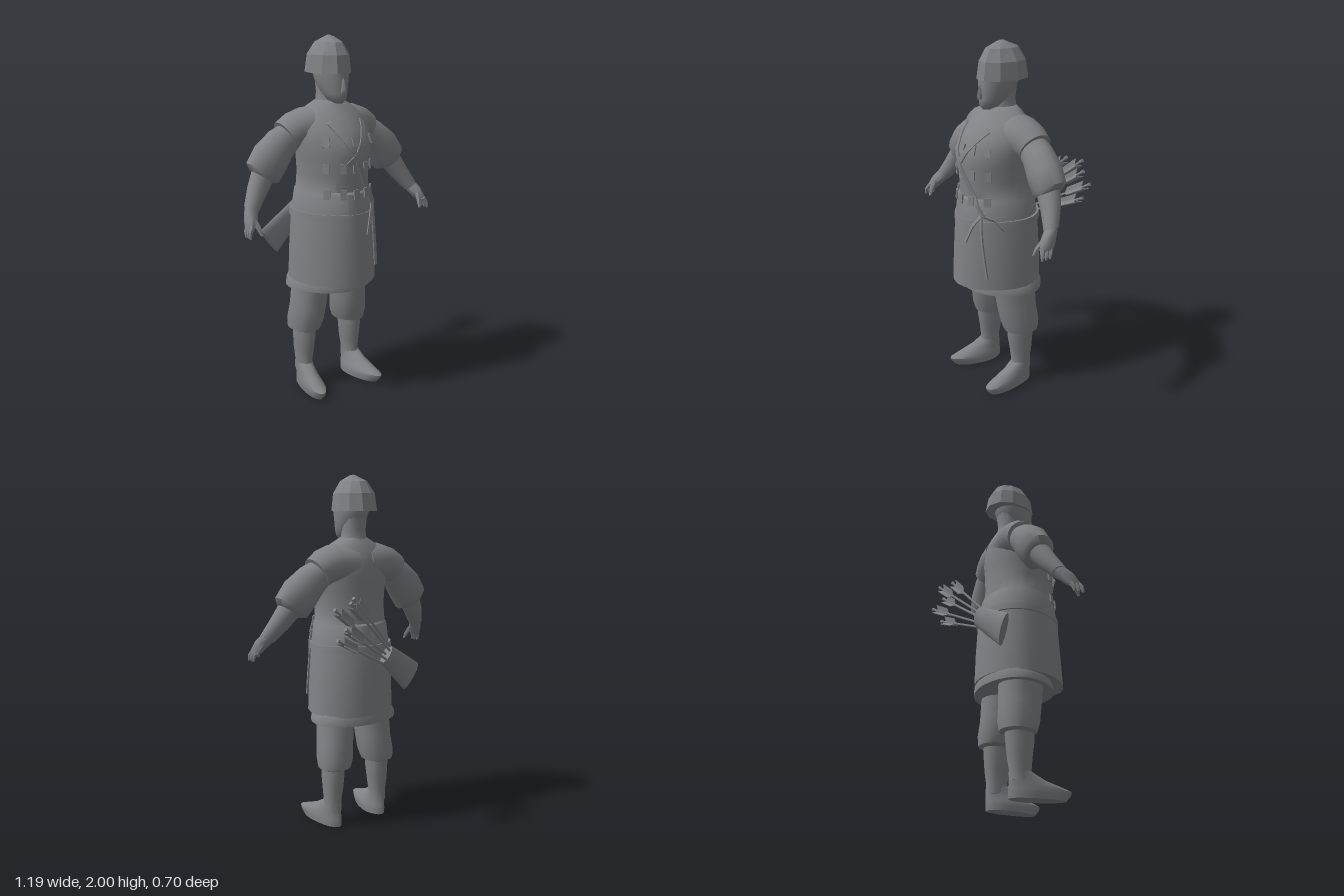
import * as THREE from 'three';
import { toCreasedNormals } from 'three/addons/utils/BufferGeometryUtils.js';

const grey = new THREE.MeshStandardMaterial({ color: 0x808285 });
grey.name = 'plain grey';

// Skin a list of closed rings of points, with capped ends
function skin(rings, crease = 0.75) {
  const n = rings[0].length, pos = [], idx = [];
  rings.forEach(r => r.forEach(p => pos.push(...p)));
  for (let i = 0; i < rings.length - 1; i++) {
    for (let j = 0; j < n; j++) {
      const a = i * n + j, b = i * n + (j + 1) % n;
      idx.push(a, b, b + n, a, b + n, a + n);
    }
  }
  const last = (rings.length - 1) * n;
  for (let j = 1; j < n - 1; j++) {
    idx.push(0, j + 1, j, last, last + j, last + j + 1);
  }
  const g = new THREE.BufferGeometry();
  g.setAttribute('position', new THREE.Float32BufferAttribute(pos, 3));
  g.setIndex(idx);
  return toCreasedNormals(g, crease);
}

// Upright loft; rows are [y, half width, front z, back z, centre x]
const midZ = (f, b) => b + (f - b) * 0.42;
function upright(rows, { sides = 24, point = 1, phase = 0, crease } = {}) {
  return skin(rows.map(([y, w, f, b, cx = 0]) => {
    const zc = midZ(f, b), ring = [];
    for (let j = 0; j < sides; j++) {
      const t = (j + phase) / sides * Math.PI * 2, s = Math.sin(t), c = Math.cos(t);
      const e = c > 0 ? point : 1;
      ring.push([cx + w * Math.sign(s) * Math.abs(s) ** e, y,
        zc + (c > 0 ? (f - zc) * c ** e : (b - zc) * -c)]);
    }
    return ring;
  }), crease);
}

// Limb loft; sections are [x, y, z, radius in the xy plane, radius in z]
function limb(secs, { sides = 14, phase = 0, crease } = {}) {
  return skin(secs.map(([x, y, z, ru, rv = ru], i) => {
    const p = secs[Math.max(i - 1, 0)], q = secs[Math.min(i + 1, secs.length - 1)];
    const l = Math.hypot(q[0] - p[0], q[1] - p[1]) || 1;
    const dx = (q[0] - p[0]) / l, dy = (q[1] - p[1]) / l, ring = [];
    for (let j = 0; j < sides; j++) {
      const t = (j + phase) / sides * Math.PI * 2, c = Math.cos(t) * ru;
      ring.push([x - dy * c, y + dx * c, z + Math.sin(t) * rv]);
    }
    return ring;
  }), crease);
}

// Mirror a non-indexed geometry across x, restoring the corner order
function mirrorX(g) {
  const m = g.clone();
  for (const key of ['position', 'normal']) {
    const a = m.attributes[key], src = g.attributes[key];
    for (let i = 0; i < a.count; i++) {
      const k = i % 3 === 0 ? i : i % 3 === 1 ? i + 1 : i - 1;
      a.setXYZ(i, -src.getX(k), src.getY(k), src.getZ(k));
    }
  }
  return m;
}

const POINT = 1.1;
const torsoRows = [
  [0.67, 0.25, 0.352, -0.155], [0.85, 0.242, 0.342, -0.15], [1.04, 0.23, 0.33, -0.14],
  [1.18, 0.213, 0.31, -0.118], [1.19, 0.207, 0.297, -0.105], [1.28, 0.203, 0.298, -0.097],
  [1.37, 0.21, 0.308, -0.1], [1.45, 0.222, 0.298, -0.104], [1.52, 0.22, 0.258, -0.1],
  [1.58, 0.19, 0.205, -0.08], [1.625, 0.14, 0.16, -0.055], [1.66, 0.075, 0.125, -0.03],
];

// Front surface depth of the coat at x, y
function frontZ(x, y) {
  let i = 0;
  while (i < torsoRows.length - 2 && torsoRows[i + 1][0] < y) i++;
  const a = torsoRows[i], b = torsoRows[i + 1];
  const k = THREE.MathUtils.clamp((y - a[0]) / (b[0] - a[0]), 0, 1);
  const [, w, f, bk] = a.map((v, n) => v + (b[n] - v) * k);
  const s = Math.min(Math.abs(x) / w, 1) ** (1 / POINT), zc = midZ(f, bk);
  return zc + (f - zc) * Math.sqrt(1 - s * s) ** POINT;
}

export function createModel() {
  const root = new THREE.Group();
  root.name = 'archer';
  const add = (name, g, parent = root) => {
    const m = new THREE.Mesh(g, grey);
    m.name = name;
    parent.add(m);
    return m;
  };
  const pair = (name, g) => {
    add('left' + name, g);
    add('right' + name, mirrorX(g));
  };

  // Coat, hem and belt
  add('coat', upright(torsoRows, { point: POINT }));
  add('hem', upright([[0.62, 0.262, 0.285, -0.15], [0.655, 0.258, 0.283, -0.15], [0.69, 0.235, 0.27, -0.14]], { point: POINT }));
  add('belt', upright([[1.035, 0.24, 0.334, -0.15], [1.072, 0.237, 0.33, -0.147]], { point: POINT }));

  // Head
  add('neck', upright([[1.6, 0.09, 0.15, -0.06], [1.65, 0.07, 0.12, -0.035], [1.7, 0.065, 0.11, -0.03], [1.78, 0.07, 0.11, -0.04]]));
  add('face', upright([
    [1.648, 0.022, 0.165, 0.09], [1.665, 0.045, 0.182, 0.05], [1.7, 0.063, 0.184, 0.01],
    [1.74, 0.076, 0.182, -0.03], [1.8, 0.09, 0.183, -0.05], [1.88, 0.085, 0.17, -0.05],
  ], { sides: 18, crease: 1 }));
  add('nose', upright([[1.705, 0.015, 0.198, 0.16], [1.72, 0.015, 0.204, 0.16], [1.78, 0.007, 0.188, 0.16]], { sides: 6 }));
  add('helmet', upright([
    [1.805, 0.115, 0.19, -0.11], [1.9, 0.106, 0.175, -0.092], [1.965, 0.066, 0.138, -0.052],
    [1.99, 0.03, 0.08, 0.01], [2.0, 0.01, 0.053, 0.03],
  ], { sides: 10, phase: 0.5, crease: 0.01 }));

  // Shoulders, arms and hands
  pair('Shoulder', limb([
    [0.04, 1.52, 0.04, 0.115, 0.14], [0.15, 1.518, 0.03, 0.108, 0.125],
    [0.21, 1.505, 0.022, 0.098, 0.11], [0.262, 1.475, 0.015, 0.09, 0.095],
  ], { sides: 18 }));
  pair('Sleeve', limb([
    [0.2, 1.5, 0.015, 0.07, 0.075], [0.29, 1.44, 0.02, 0.092, 0.085], [0.36, 1.37, 0.028, 0.108, 0.092],
    [0.415, 1.295, 0.035, 0.105, 0.085], [0.428, 1.277, 0.04, 0.07, 0.068],
  ], { sides: 16, crease: 0.9 }));
  pair('Forearm', limb([[0.41, 1.3, 0.04, 0.066], [0.47, 1.21, 0.068, 0.055], [0.527, 1.125, 0.108, 0.041]]));
  pair('Palm', limb([
    [0.522, 1.135, 0.105, 0.038], [0.542, 1.1, 0.135, 0.036, 0.046],
    [0.56, 1.065, 0.155, 0.027, 0.045], [0.57, 1.04, 0.165, 0.016, 0.036],
  ], { sides: 10 }));
  for (let i = 0; i < 3; i++) {
    const z = 0.14 + i * 0.025;
    pair('Finger' + i, limb([[0.562, 1.06, z, 0.016], [0.582, 1.03, z + 0.013, 0.012], [0.584, 1.0, z + 0.018, 0.006]], { sides: 6 }));
  }
  pair('Thumb', limb([[0.545, 1.09, 0.165, 0.019], [0.53, 1.05, 0.195, 0.014], [0.521, 1.01, 0.215, 0.007]], { sides: 6 }));

  // Baggy trousers, calves and feet
  pair('TrouserLeg', upright([
    [0.345, 0.068, 0.105, -0.06, 0.158], [0.355, 0.092, 0.125, -0.08, 0.153], [0.41, 0.103, 0.143, -0.087, 0.146],
    [0.5, 0.1, 0.158, -0.078, 0.136], [0.65, 0.1, 0.18, -0.075, 0.125],
  ], { sides: 16 }));
  pair('Calf', upright([
    [0.09, 0.047, 0.1, -0.036, 0.162], [0.15, 0.046, 0.088, -0.033, 0.162], [0.22, 0.055, 0.095, -0.043, 0.16],
    [0.3, 0.06, 0.108, -0.05, 0.158], [0.37, 0.062, 0.11, -0.055, 0.156],
  ], { sides: 14 }));
  const foot = upright([
    [0, 0.058, 0.265, -0.038, 0.158], [0.03, 0.061, 0.29, -0.04, 0.158], [0.05, 0.06, 0.298, -0.04, 0.158],
    [0.068, 0.054, 0.25, -0.038, 0.16], [0.1, 0.047, 0.16, -0.037, 0.162], [0.14, 0.044, 0.09, -0.034, 0.162],
  ], { sides: 16 });
  const fp = foot.attributes.position;
  for (let i = 0; i < fp.count; i++) fp.setX(i, fp.getX(i) + 0.17 * Math.max(0, fp.getZ(i) - 0.06));
  pair('Foot', foot);

  // Rows of small armour plates on the chest
  const plates = new THREE.Group();
  plates.name = 'armourPlates';
  root.add(plates);
  for (const y of [1.18, 1.32, 1.46]) {
    for (let i = -2; i <= 2; i++) {
      const x = i * 0.071;
      const plate = add('plate', new THREE.BoxGeometry(0.035, 0.052, 0.009), plates);
      plate.position.set(x, y, frontZ(x, y) + 0.006);
      plate.rotation.order = 'YXZ';
      plate.rotation.y = Math.atan2(frontZ(x - 0.02, y) - frontZ(x + 0.02, y), 0.04);
      plate.rotation.x = y > 1.4 ? -0.35 : -0.08;
    }
  }

  // Flat cords lying on the coat
  const cord = (name, pts, w) => {
    const secs = [];
    for (let i = 0; i < pts.length - 1; i++) {
      for (let k = i ? 1 : 0; k <= 6; k++) {
        const x = THREE.MathUtils.lerp(pts[i][0], pts[i + 1][0], k / 6);
        const y = THREE.MathUtils.lerp(pts[i][1], pts[i + 1][1], k / 6);
        secs.push([x, y, frontZ(x, y) + 0.013, w, 0.006]);
      }
    }
    add(name, limb(secs, { sides: 4, phase: 0.5 }));
  };
  cord('chestCord', [[-0.105, 1.56], [-0.01, 1.39], [0.09, 1.2], [0.14, 1.1]], 0.021);
  cord('shortChestCord', [[0.105, 1.56], [0.01, 1.4], [-0.05, 1.34]], 0.021);
  cord('shortTassel', [[0.14, 1.12], [0.1, 1.05], [0.065, 0.95]], 0.012);
  cord('longTassel', [[0.13, 1.12], [0.145, 0.95], [0.172, 0.74]], 0.012);
  cord('sideTassel', [[0.13, 1.11], [0.18, 1.08], [0.21, 1.02]], 0.01);

  // Quiver of arrows slung across the back, built along its own y axis
  const quiver = new THREE.Group();
  quiver.name = 'quiver';
  quiver.position.set(-0.285, 0.865, -0.125);
  const axis = new THREE.Vector3(0.8, 0.575, -0.19).normalize();
  const out = new THREE.Vector3(0, 0, -1).addScaledVector(axis, axis.z).normalize();
  quiver.quaternion.setFromRotationMatrix(new THREE.Matrix4().makeBasis(
    new THREE.Vector3().crossVectors(axis, out), axis, out));
  root.add(quiver);
  add('quiverCase', upright([[-0.02, 0.09, 0.02, -0.02], [0.1, 0.078, 0.026, -0.024], [0.27, 0.058, 0.03, -0.026]], { sides: 12 }), quiver);
  const spread = [[-0.11, 0.02, 0.68], [-0.055, 0.07, 0.72], [0, -0.01, 0.77], [0.055, 0.04, 0.75], [0.1, -0.01, 0.7]];
  for (const [tiltX, tiltZ, len] of spread) {
    const arrow = new THREE.Group();
    arrow.name = 'arrow';
    arrow.position.set(tiltX * 0.25, 0.1, 0);
    arrow.rotation.set(tiltZ * 1.6, 0, -tiltX * 1.5);
    quiver.add(arrow);
    const l = len - 0.1;
    add('shaft', new THREE.CylinderGeometry(0.007, 0.007, l, 6), arrow).position.y = l / 2;
    add('nock', new THREE.CylinderGeometry(0.011, 0.008, 0.022, 6), arrow).position.y = l - 0.005;
    const vane = new THREE.Shape([[0, 0], [0.03, 0.03], [0.032, 0.15], [0, 0.12]].map(p => new THREE.Vector2(...p)));
    for (let k = 0; k < 3; k++) {
      const feather = add('feather', new THREE.ExtrudeGeometry(vane, { depth: 0.004, bevelEnabled: false }), arrow);
      feather.position.y = l - 0.18;
      feather.rotation.y = k * Math.PI * 2 / 3;
    }
  }
  return root;
}
